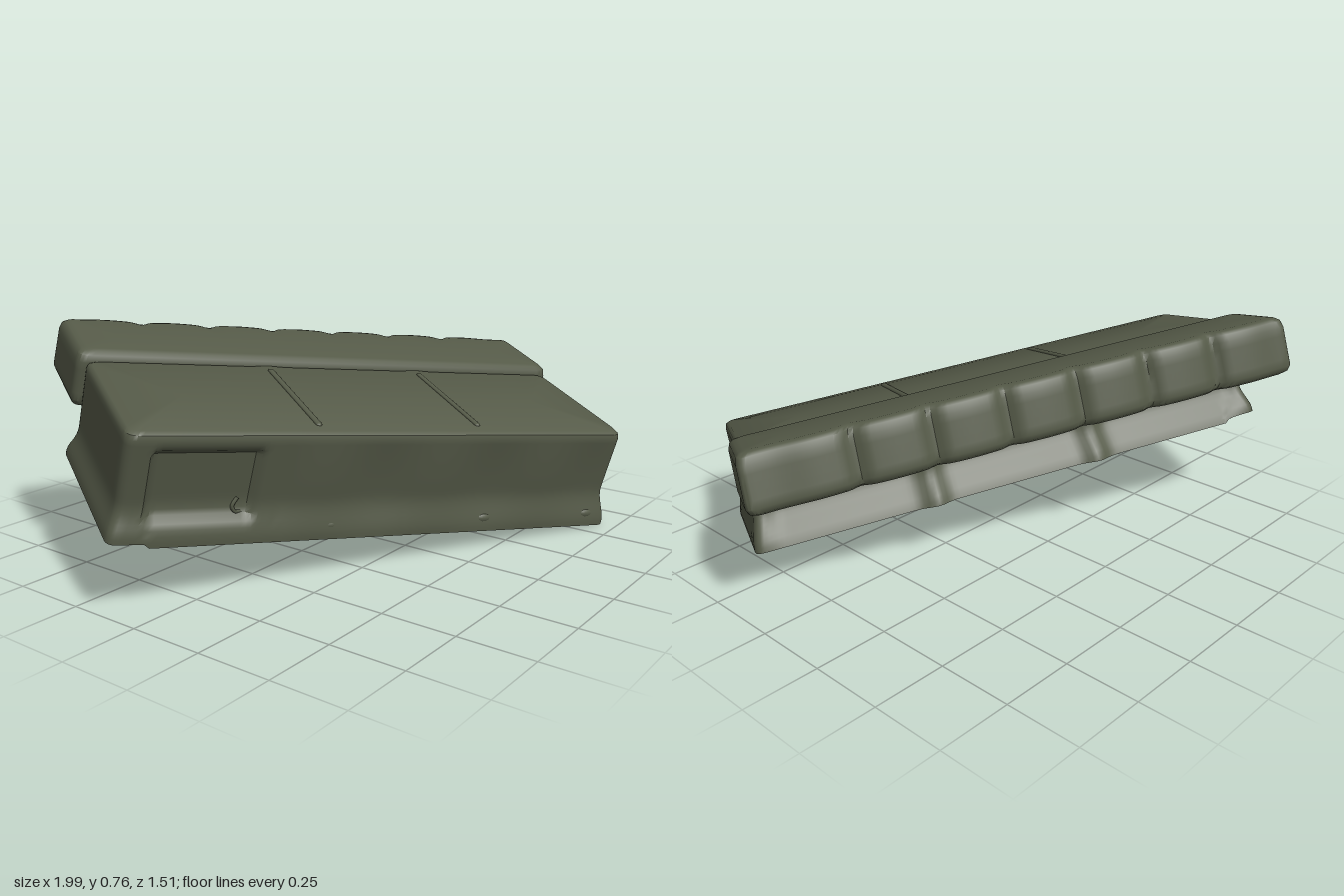
import * as THREE from 'three';
import { toCreasedNormals } from 'three/addons/utils/BufferGeometryUtils.js';
import { RoundedBoxGeometry } from 'three/addons/geometries/RoundedBoxGeometry.js';

const smooth = (a, b, v) => THREE.MathUtils.smoothstep(v, a, b);
const bump = (v, c, w) => Math.exp(-(((v - c) / w) ** 2));
const BAYS = [-0.33, 0.25];                 // where the body is divided in three
const STUDS = [-0.88, -0.26, 0.32, 0.76];   // fixing points along the front
const BASE = 0.186, TOP = 0.537;

// Rounded rectangle, counter-clockwise from above, as [x, z] points
function rect(x0, x1, z0, z1, r) {
  const corners = [[x1 - r, z0 + r], [x0 + r, z0 + r], [x0 + r, z1 - r], [x1 - r, z1 - r]];
  const pts = [];
  corners.forEach(([cx, cz], q) => {
    for (let k = 0; k <= 4; k++) {
      const t = (q + k / 4) * Math.PI / 2;
      pts.push([cx + r * Math.cos(t), cz - r * Math.sin(t)]);
    }
    const last = pts[pts.length - 1], t = (q + 1) * Math.PI / 2;
    const [nx, nz] = corners[(q + 1) % 4];
    const end = [nx + r * Math.cos(t), nz - r * Math.sin(t)];
    const n = q % 2 ? 20 : 110;
    for (let k = 1; k < n; k++) {
      pts.push([last[0] + (end[0] - last[0]) * k / n, last[1] + (end[1] - last[1]) * k / n]);
    }
  });
  return pts;
}

// Skin a list of {y, pts} loops, moving each vertex by a rule
function loft(rings, rule, crease) {
  const pos = [], idx = [], n = rings[0].pts.length;
  for (const { y, pts } of rings) {
    for (const [x, z] of pts) pos.push(...rule(x, y, z));
  }
  for (let i = 0; i < rings.length - 1; i++) {
    for (let j = 0; j < n; j++) {
      const a = i * n + j, b = i * n + (j + 1) % n;
      idx.push(a, b, b + n, a, b + n, a + n);
    }
  }
  const g = new THREE.BufferGeometry();
  g.setAttribute('position', new THREE.Float32BufferAttribute(pos, 3));
  g.setIndex(idx);
  return toCreasedNormals(g, crease);
}

// Hollow body: inner ceiling, inner walls, lip, outer walls, top
function bodyGeometry() {
  const ring = (y, e) => ({ y, pts: rect(-0.962 + e * 0.7, 0.852 - e * 0.7, -0.255 + e, 0.328 - e, 0.03) });
  const centre = y => ({ y, pts: rect(-0.7, 0.6, 0.035, 0.035, 0) });
  const flare = y => 0.033 * smooth(BASE, BASE + 0.13, y);
  const levels = [];
  for (let i = 0; i <= 20; i++) levels.push(BASE + (TOP - 0.022 - BASE) * i / 20);
  const rings = [centre(TOP - 0.03), ring(TOP - 0.03, 0.075)];
  for (const y of [...levels].reverse()) rings.push(ring(Math.min(y, TOP - 0.03), flare(y) + 0.028));
  for (const y of levels) rings.push(ring(y, flare(y)));
  rings.push(ring(TOP - 0.008, 0.038), ring(TOP, 0.052), centre(TOP));

  return loft(rings, (x, y, z) => {
    const low = 1 - smooth(BASE, BASE + 0.1, y);
    const mid = Math.sin(Math.PI * THREE.MathUtils.clamp((y - BASE) / 0.33, 0, 1));
    let dz = 0;
    if (z > 0.22) {
      // recessed panel and soft folds on the front
      const panel = smooth(-0.865, -0.84, x) * (1 - smooth(-0.535, -0.51, x))
        * smooth(0.245, 0.27, y) * (1 - smooth(0.465, 0.49, y));
      dz -= 0.024 * panel;
      if (x > -0.45) dz += 0.005 * mid * Math.sin(x * 15);
    } else if (z < -0.15) {
      // hollow back panels between flared posts
      const post = Math.max(...BAYS.map(b => bump(x, b, 0.04)));
      const span = smooth(-0.94, -0.86, x) * (1 - smooth(0.74, 0.82, x));
      dz += span * (0.02 * mid * (1 - post) - 0.025 * post * (0.4 + 0.6 * low));
    }
    const lift = 0.008 * low * (1 + Math.sin(x * 13 + 1)) * smooth(0.85, 0.75, Math.abs(x));
    return [x, y + lift, z + dz];
  }, 0.7);
}

// Raised rear shelf with seven padded lobes along its back
function shelfGeometry() {
  const ring = (y, e) => ({ y, pts: rect(-0.968 + e, 0.86 - e, -0.532 + e, -0.208 - e, 0.025) });
  const centre = y => ({ y, pts: rect(-0.8, 0.7, -0.37, -0.37, 0) });
  const y0 = 0.372, y1 = 0.564;
  const rings = [centre(y0), ring(y0, 0.025), ring(y0 + 0.008, 0.01), ring(y0 + 0.025, 0.002)];
  for (let i = 1; i <= 5; i++) rings.push(ring(y0 + 0.025 + 0.13 * i / 5, 0.002 + 0.004 * i / 5));
  rings.push(ring(y1 - 0.014, 0.012), ring(y1 - 0.004, 0.024), ring(y1, 0.04), centre(y1));
  return loft(rings, (x, y, z) => {
    let dz = 0;
    if (z < -0.45) {
      for (let k = 0; k < 6; k++) dz += 0.022 * bump(x, -0.69 + 0.241 * k, 0.024);
      dz -= 0.004 * Math.cos((x + 0.81) * Math.PI * 2 / 0.241);
    }
    return [x, y, z + dz];
  }, 0.7);
}

export function createModel() {
  const model = new THREE.Group();
  model.name = 'bench';
  const tilted = new THREE.Group();
  tilted.name = 'tiltedBench';
  tilted.rotation.set(THREE.MathUtils.degToRad(15.1), THREE.MathUtils.degToRad(-27.1), 0);
  model.add(tilted);
  const olive = new THREE.MeshStandardMaterial({ color: 0x555a48 });
  olive.name = 'olive drab';

  const add = (name, geometry, x = 0, y = 0, z = 0) => {
    const mesh = new THREE.Mesh(geometry, olive);
    mesh.name = name;
    mesh.position.set(x, y, z);
    tilted.add(mesh);
    return mesh;
  };

  add('body', bodyGeometry());
  add('rearShelf', shelfGeometry());

  // Seams on the top and ribs beneath them
  for (const x of BAYS) {
    const seam = add('topSeam', new THREE.CapsuleGeometry(0.011, 0.4, 4, 10), x, TOP, 0.03);
    seam.rotation.x = Math.PI / 2;
    seam.scale.z = 0.6;
    add('ceilingRib', new RoundedBoxGeometry(0.03, 0.05, 0.47, 2, 0.01), x, TOP - 0.045, 0.03);
    add('frontRib', new RoundedBoxGeometry(0.035, 0.28, 0.035, 2, 0.012), x, 0.36, 0.255);
    add('backRib', new RoundedBoxGeometry(0.035, 0.28, 0.035, 2, 0.012), x, 0.36, -0.195);
  }

  // Inner foot blocks and outer studs along the front
  for (const x of STUDS) {
    add('footBlock', new RoundedBoxGeometry(0.09, 0.06, 0.06, 2, 0.015), x, BASE + 0.045, 0.255);
    add('frontStud', new THREE.SphereGeometry(1, 14, 10), x, 0.226, 0.308).scale.set(0.032, 0.018, 0.014);
  }

  // Studs on both ends
  for (const x of [-0.945, 0.835]) {
    for (const z of [0.23, -0.167]) {
      add('endStud', new THREE.SphereGeometry(1, 14, 10), x, 0.226, z).scale.set(0.014, 0.018, 0.032);
    }
  }

  // Small pull handle in the front panel
  const handle = new THREE.CatmullRomCurve3([[0, 0.03, 0], [-0.015, 0.005, 0.008], [-0.005, -0.012, 0.01], [0.025, -0.015, 0]]
    .map(p => new THREE.Vector3(...p)));
  add('panelHandle', new THREE.TubeGeometry(handle, 12, 0.006, 6), -0.57, 0.285, 0.272);
  return model;
}
